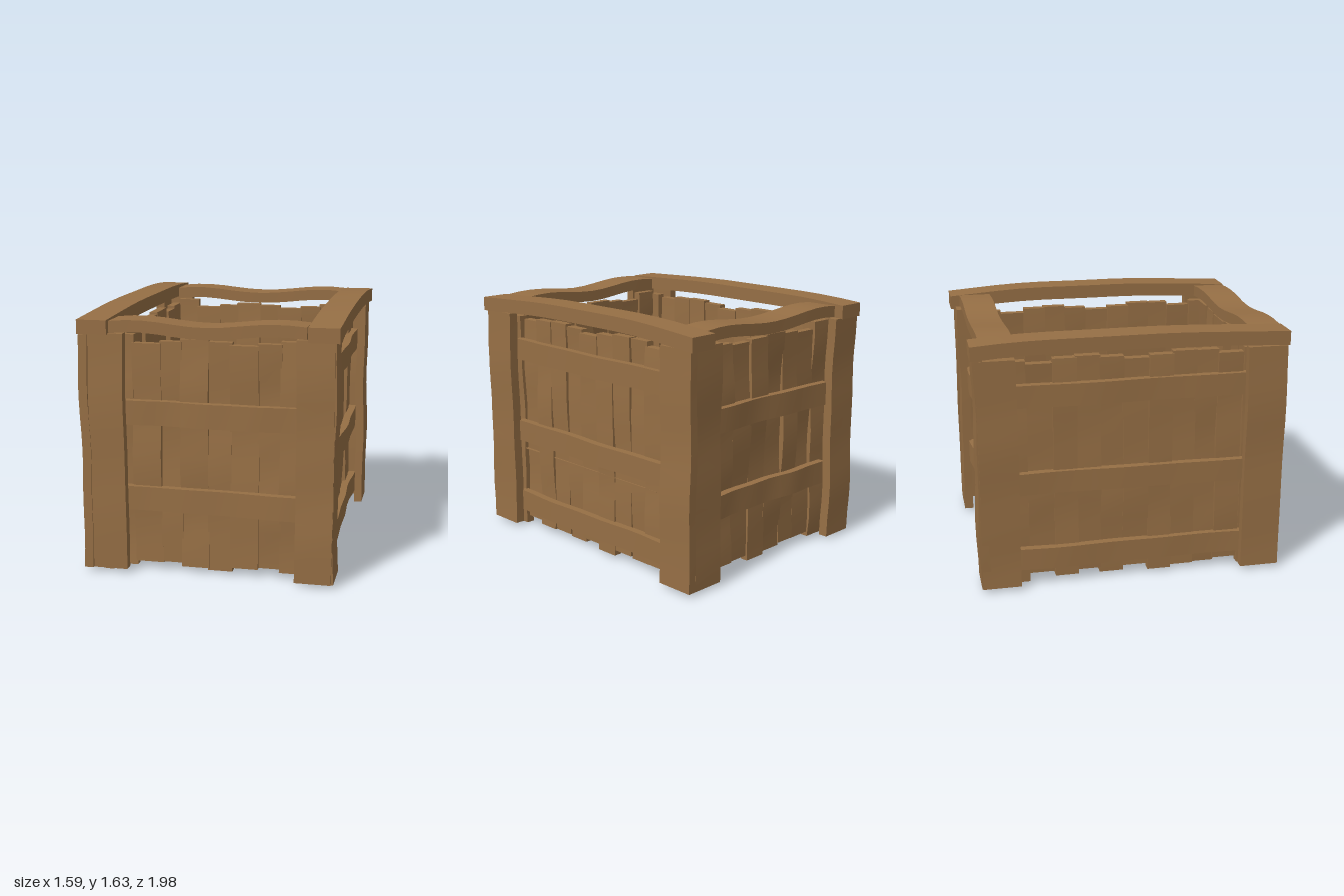
import * as THREE from 'three';

const wood = new THREE.MeshStandardMaterial({ color: 0x966f45 });

// small seeded generator for the hand-hewn irregularities
let seed = 11;
const rand = () => {
  seed = (seed * 16807) % 2147483647;
  return seed / 2147483647;
};

// A rough board between two corners, cut into stations along its length.
// wave = [x, y, z] amplitude of a gentle random warp.
// bend(t) optionally gives an added [x, y, z] offset.
function board(name, min, max, wave, bend = () => [0, 0, 0]) {
  const n = 12;
  const size = max.map((v, i) => v - min[i]);
  const axis = size.indexOf(Math.max(...size));
  const segs = [1, 1, 1];
  segs[axis] = n;
  const geo = new THREE.BoxGeometry(...size, ...segs);
  const warps = wave.map(a => {
    const p = rand() * 6.28, q = rand() * 6.28, f = 5 + rand() * 4;
    return t => a * (0.6 * Math.sin(f * t + p) + 0.4 * Math.sin(2.3 * f * t + q));
  });
  const pos = geo.attributes.position;
  for (let i = 0; i < pos.count; i++) {
    const p = [pos.getX(i), pos.getY(i), pos.getZ(i)];
    const t = p[axis] / size[axis] + 0.5;
    const b = bend(t);
    pos.setXYZ(i, ...p.map((v, k) => v + (min[k] + max[k]) / 2 + warps[k](t) + b[k]));
  }
  geo.computeVertexNormals();
  const mesh = new THREE.Mesh(geo, wood);
  mesh.name = name;
  return mesh;
}

// upright slats of the end wall: x from, x to, bottom, top
function endSlats() {
  const wall = new THREE.Group();
  wall.name = 'endSlats';
  const rows = [
    [-0.62, -0.48, 0.02, 1.5], [-0.48, -0.31, 0.05, 1.45], [-0.31, -0.178, 0.055, 1.465],
    [-0.178, -0.013, 0.035, 1.48], [-0.013, 0.133, 0.02, 1.47], [0.133, 0.3, 0.05, 1.455],
    [0.3, 0.44, 0.055, 1.47], [0.44, 0.61, 0.035, 1.485],
  ];
  rows.forEach(([a, b, y0, y1], i) => {
    const lean = i % 2 ? 0.006 : -0.006;
    wall.add(board('endSlat', [a - 0.005, y0, 0.805 + lean], [b + 0.005, y1, 0.855 + lean],
      [0.003, 0, 0.016]));
  });
  return wall;
}

// upright slats of the long wall: z from, z to, bottom, top, shift outward
function sideSlats() {
  const wall = new THREE.Group();
  wall.name = 'sideSlats';
  const rows = [
    [0.73, 0.9, 0, 1.48, 0.006], [0.558, 0.712, 0.055, 1.46, -0.01], [0.415, 0.558, 0.035, 1.48, 0.01],
    [0.265, 0.415, 0.035, 1.485, 0], [0.118, 0.265, 0.02, 1.47, -0.01], [-0.045, 0.118, 0.055, 1.45, 0.004],
    [-0.193, -0.045, 0.02, 1.47, 0.01], [-0.342, -0.193, 0.055, 1.485, 0], [-0.487, -0.342, 0.035, 1.48, -0.01],
    [-0.65, -0.487, 0.055, 1.45, 0.01], [-0.83, -0.655, 0, 1.47, 0],
  ];
  for (const [a, b, y0, y1, out] of rows)
    wall.add(board('sideSlat', [0.62 + out, y0, a - 0.003], [0.675 + out, y1, b + 0.003],
      [0.009, 0, 0.003]));
  return wall;
}

// cross rails and corner boards of one end wall and one long wall
function buildFrame() {
  const frame = new THREE.Group();
  const add = (...args) => frame.add(board(...args));

  for (const y of [0.4, 0.947])
    add('endRail', [-0.53, y, 0.86], [0.57, y + 0.152, 0.91], [0, 0, 0.014],
      t => [0, 0.004 - 0.008 * t, 0]);
  for (const y of [0.112, 0.62, 1.19])
    add('sideRail', [0.68, y, -0.74], [0.73, y + 0.142, 0.74], [0.012, 0, 0]);

  add('cornerBoardEnd', [0.55, 0.025, 0.91], [0.775, 1.52, 0.972], [0.003, 0, 0.009]);
  add('cornerBoardSide', [0.72, 0.025, 0.72], [0.781, 1.51, 0.962], [0.008, 0, 0.003]);
  add('cornerBoardEnd', [-0.73, 0.025, 0.905], [-0.512, 1.52, 0.965], [0.003, 0, 0.009]);
  add('cornerBoardSide', [-0.785, 0.025, 0.72], [-0.73, 1.51, 0.972], [0.009, 0, 0.003]);
  return frame;
}

export function createModel() {
  const model = new THREE.Group();
  model.name = 'plankCrate';

  // slat walls, repeated straight across to the opposite side
  const front = endSlats();
  const back = front.clone();
  back.position.z = -1.66;
  const leftWall = sideSlats();
  const rightWall = leftWall.clone();
  rightWall.position.x = -1.302;
  model.add(front, back, leftWall, rightWall);

  // framing, repeated half a turn round
  for (const [name, turn] of [['frontFrame', 0], ['backFrame', Math.PI]]) {
    const frame = buildFrame();
    frame.name = name;
    frame.rotation.y = turn;
    model.add(frame);
  }

  // top rim: wavy end boards, arched side boards
  const ripple = t => 0.016 * Math.cos((t - 0.12) * 8.5);
  model.add(
    board('frontRim', [-0.59, 1.517, 0.765], [0.607, 1.59, 0.97], [0, 0.002, 0.002],
      t => [0, ripple(t), 0.006 - 0.012 * t]),
    board('backRim', [-0.607, 1.517, -0.932], [0.61, 1.59, -0.722], [0, 0.002, 0.002],
      t => [0, ripple(1 - t), 0.006 - 0.012 * t]));
  const arch = t => 0.032 * (1 - Math.abs(2 * t - 1) ** 2.5);
  model.add(
    board('leftRim', [0.612, 1.508, -1], [0.8, 1.598, 0.975], [0.002, 0.005, 0],
      t => [0, arch(t), 0]),
    board('rightRim', [-0.79, 1.515, -0.99], [-0.603, 1.603, 0.98], [0.002, 0.005, 0],
      t => [0, 0.8 * arch(t), 0]));

  // thin raised inner floor, stopping short of the back wall
  const floor = new THREE.Mesh(new THREE.BoxGeometry(1.31, 0.004, 1.41), wood);
  floor.name = 'floor';
  floor.position.set(0.025, 0.55, 0.125);
  model.add(floor);
  return model;
}
